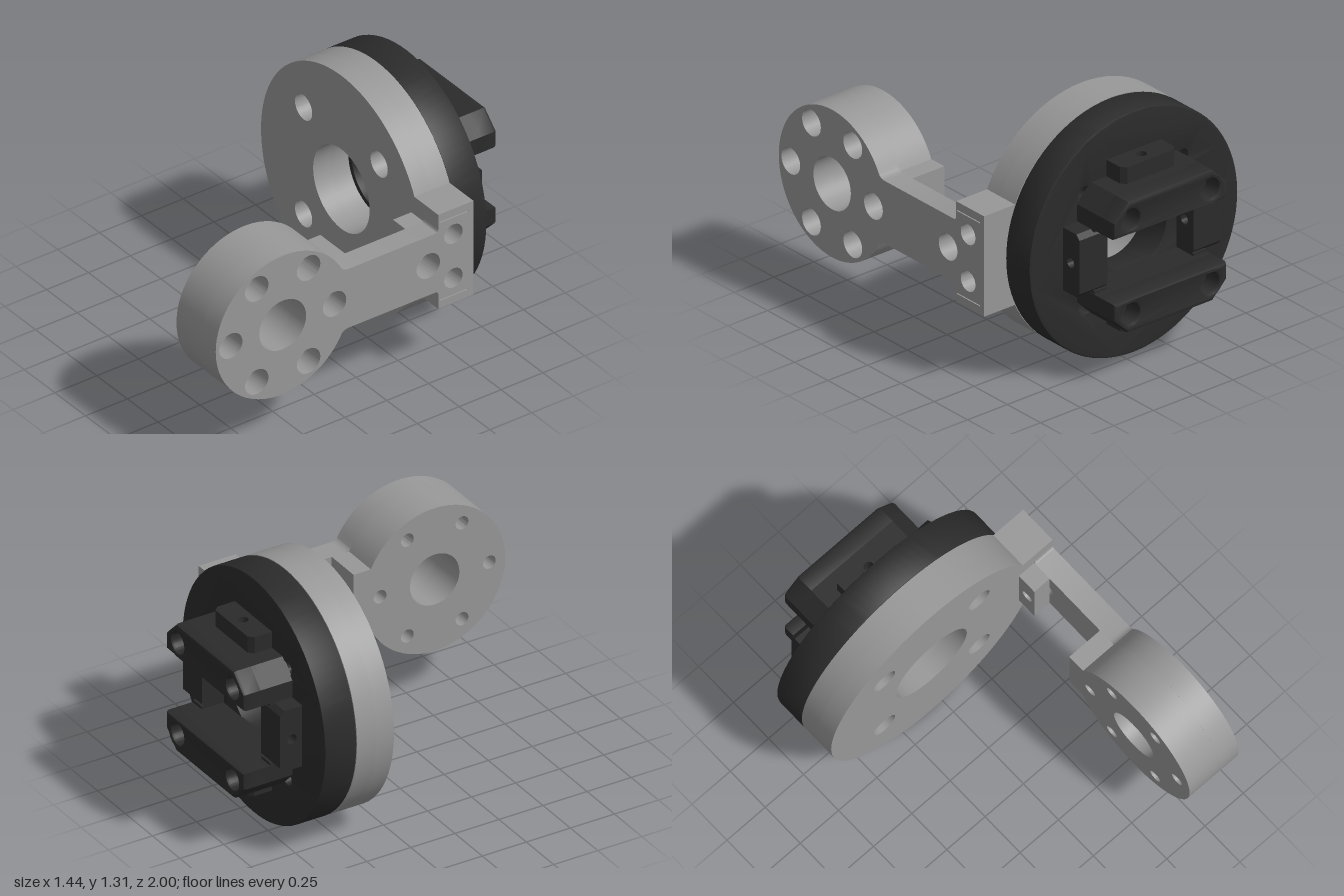
import * as THREE from 'three';
import { toCreasedNormals } from 'three/addons/utils/BufferGeometryUtils.js';

const gray = new THREE.MeshStandardMaterial({ color: 0x989898 });
gray.name = 'machined gray';
const black = new THREE.MeshStandardMaterial({ color: 0x2b2b2b });
black.name = 'matte black';

const CX = -0.07, CY = 0.655; // disc centre

const circle = (x, y, r) => new THREE.Path().absarc(x, y, r, 0, Math.PI * 2, true);
function disc(x, y, r) {
  const s = new THREE.Shape();
  s.absarc(x, y, r, 0, Math.PI * 2, false);
  return s;
}
const poly = (pts) => new THREE.Shape(pts.map(([x, y]) => new THREE.Vector2(x, y)));
const rect = (x0, y0, x1, y1) => poly([[x0, y0], [x1, y0], [x1, y1], [x0, y1]]);

// Extrude a shape from a to b along z, or along x (then the shape is drawn in -z, y)
function slab(name, shape, holes, a, b, material, { axis = 'z', bevel = 0 } = {}) {
  shape.holes.push(...holes);
  let g = new THREE.ExtrudeGeometry(shape, {
    depth: b - a - 2 * bevel, curveSegments: 40, bevelEnabled: bevel > 0,
    bevelSize: bevel, bevelThickness: bevel, bevelOffset: -bevel, bevelSegments: 2,
  });
  g.translate(0, 0, a + bevel);
  if (axis === 'x') g.rotateY(Math.PI / 2);
  g = toCreasedNormals(g, 0.5);
  const m = new THREE.Mesh(g, material);
  m.name = name;
  return m;
}

// Four corner holes at half spacing d
const corners = (d, r) => [[1, 1], [-1, 1], [-1, -1], [1, -1]].map(([i, j]) => circle(i * d, j * d, r));
// Six holes round the big end of the arm
const ring = (r) => Array.from({ length: 6 }, (_, i) => {
  const t = i * Math.PI / 3;
  return circle(-0.6 + 0.31 * Math.cos(t), CY + 0.31 * Math.sin(t), r);
});

function makeFlange() {
  const g = new THREE.Group();
  g.name = 'flange';
  g.position.set(CX, CY, 0);

  // Gray plate with counterbored screw holes, then the black plate
  g.add(slab('frontPlate', disc(0, 0, 0.655), [circle(0, 0, 0.23), ...corners(0.308, 0.07)], -0.43, -0.33, gray));
  g.add(slab('frontPlateBack', disc(0, 0, 0.655), [circle(0, 0, 0.23), ...corners(0.308, 0.04)], -0.54, -0.43, gray));
  g.add(slab('backPlate', disc(0, 0, 0.655), [circle(0, 0, 0.205), ...corners(0.308, 0.034)], -0.72, -0.54, black, { bevel: 0.008 }));

  // Upper and lower gripping bars with screw pockets
  for (const s of [1, -1]) {
    const bar = () => poly([[-0.355, 0.175], [0.355, 0.175], [0.355, 0.265], [0.265, 0.355], [-0.265, 0.355], [-0.355, 0.265]]);
    const pockets = (r) => [circle(-0.25, 0.255, r), circle(0.25, 0.255, r)];
    const pair = new THREE.Group();
    pair.name = s > 0 ? 'upperBar' : 'lowerBar';
    pair.rotation.z = s > 0 ? 0 : Math.PI;
    pair.add(slab('barBase', bar(), pockets(0.028), -0.9, -0.715, black));
    pair.add(slab('barTop', bar(), pockets(0.055), -1, -0.86, black, { bevel: 0.018 }));
    g.add(pair);
  }

  // Four drilled tabs; the side ones also close the window between the bars
  for (let i = 0; i < 4; i++) {
    const t = 0.17, c = 0.025;
    const shape = poly([[0.715, -t], [0.845 - c, -t], [0.845, -t + c], [0.845, t - c], [0.845 - c, t], [0.715, t]]);
    const tab = slab('tab', shape, [circle(0.778, 0, 0.026)], 0.27, 0.445, black, { axis: 'x' });
    tab.rotation.z = i * Math.PI / 2;
    g.add(tab);
  }
  // Webs filling the slim gap beside the side tabs
  for (const s of [1, -1]) for (const k of [1, -1]) {
    const web = new THREE.Mesh(new THREE.BoxGeometry(0.08, 0.02, 0.125), black);
    web.name = 'sideWeb';
    web.position.set(s * 0.312, k * 0.17, -0.7825);
    g.add(web);
  }
  return g;
}

function makeArm() {
  const g = new THREE.Group();
  g.name = 'arm';

  // Outer layer: round end, bar and mounting pad in one outline
  const a = 0.5, h = 0.17, p = 0.272;
  const s = new THREE.Shape();
  s.absarc(-0.6, CY, 0.4, a, Math.PI * 2 - a, false);
  s.quadraticCurveTo(-0.238, CY - h, -0.2, CY - h);
  s.lineTo(0.31, CY - h);
  s.quadraticCurveTo(0.33, CY - h, 0.33, CY - h - 0.02);
  s.lineTo(0.33, CY - p);
  s.lineTo(0.54, CY - p);
  s.lineTo(0.54, CY + p);
  s.lineTo(0.33, CY + p);
  s.lineTo(0.33, CY + h + 0.02);
  s.quadraticCurveTo(0.33, CY + h, 0.31, CY + h);
  s.lineTo(-0.2, CY + h);
  s.quadraticCurveTo(-0.238, CY + h, -0.249, CY + 0.192);
  const grooves = [-0.228, 0.222].map((y) => rect(0.336, CY + y, 0.51, CY + y + 0.006));
  const mountHoles = (r) => [circle(0.42, CY - 0.127, r), circle(0.42, CY + 0.127, r)];
  g.add(slab('armPlate', s, [circle(-0.6, CY, 0.14), ...ring(0.07), circle(0.27, CY, 0.07), ...mountHoles(0.055), ...grooves],
    0.6, 0.72, gray, { axis: 'x' }));

  // Inner half of the round end, with its flat shoulder towards the bar
  const e = new THREE.Shape();
  const b = Math.asin(h / 0.4);
  e.absarc(-0.6, CY, 0.4, b, Math.PI * 2 - b, false);
  e.lineTo(-0.14, CY - h);
  e.lineTo(-0.14, CY + h);
  g.add(slab('roundEnd', e, [circle(-0.6, CY, 0.14), ...ring(0.036)], 0.4, 0.6, gray, { axis: 'x' }));

  // Mount block joining the arm to the flange
  const m = poly([[0.22, CY - h], [0.33, CY - h], [0.33, CY - p], [0.54, CY - p],
    [0.54, CY + p], [0.33, CY + p], [0.33, CY + h], [0.22, CY + h]]);
  g.add(slab('mountBlock', m, [circle(0.27, CY, 0.034), ...mountHoles(0.03)], 0.5, 0.6, gray, { axis: 'x' }));
  return g;
}

export function createModel() {
  const model = new THREE.Group();
  model.name = 'armAndFlange';
  model.add(makeFlange(), makeArm());
  return model;
}
